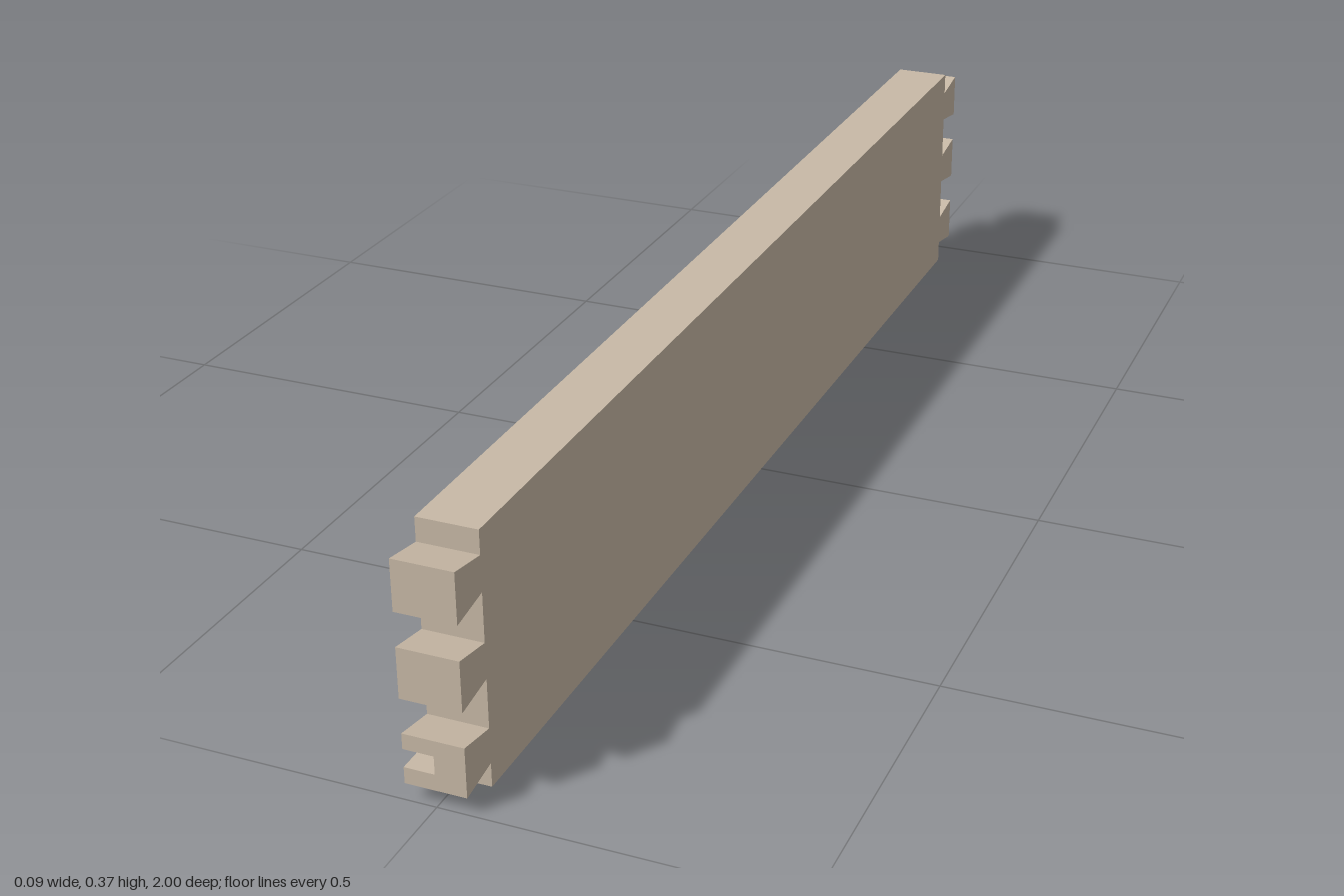
import * as THREE from 'three';
import { mergeGeometries } from 'three/addons/utils/BufferGeometryUtils.js';

const HALF = 0.044, HEIGHT = 0.372, SHOULDER = 0.935;
const GROOVE_LOW = 0.049, GROOVE_HIGH = 0.076;
const TAILS = [0.062, 0.187, 0.311]; // centre heights of the dovetails
const TIP = 0.037, ROOT = 0.026;     // half heights of a tail

// Profile of one end from bottom to top, as [distance along board, height]
function endProfile() {
  const pts = [[SHOULDER, 0]];
  TAILS.forEach((c, i) => {
    pts.push([SHOULDER, c - ROOT], [1, c - TIP]);
    if (i === 0) pts.push([1, GROOVE_LOW], [1, GROOVE_HIGH]);
    pts.push([1, c + TIP], [SHOULDER, c + ROOT]);
  });
  pts.push([SHOULDER, HEIGHT]);
  return pts;
}

// Closed outline: one end plus its mirror image
const mirrored = (end) => [...end, ...end.map(([u, v]) => [-u, v]).reverse()];

// Flat face at the given x, facing +x (side 1) or -x (side -1)
function face(outline, x, side) {
  const shape = new THREE.Shape(outline.map(([u, v]) => new THREE.Vector2(u, v)));
  const g = new THREE.ShapeGeometry(shape).toNonIndexed();
  g.deleteAttribute('uv');
  return g.rotateY(side * Math.PI / 2).translate(x, 0, 0);
}

// Flat wall from outline point a to b, spanning x0 to x1
function wall(a, b, x0, x1) {
  const p = (q, x) => [x, q[1], -q[0]];
  const corners = [p(a, x0), p(b, x0), p(b, x1), p(a, x0), p(b, x1), p(a, x1)];
  const g = new THREE.BufferGeometry();
  g.setAttribute('position', new THREE.Float32BufferAttribute(corners.flat(), 3));
  g.computeVertexNormals();
  return g;
}

export function createModel() {
  const group = new THREE.Group();
  group.name = 'dovetailedBoard';
  const material = new THREE.MeshStandardMaterial({ color: 0xc8b9a6 });
  const add = (name, parts) => {
    const mesh = new THREE.Mesh(mergeGeometries(parts), material);
    mesh.name = name;
    group.add(mesh);
  };

  const end = endProfile();
  const low = end.findIndex(([, v]) => v === GROOVE_LOW);
  const outline = mirrored(end);

  // Broad faces; the grooved one is split above and below the slot
  add('plainFace', [face(outline, HALF, 1)]);
  add('groovedFace', [
    face(mirrored(end.slice(0, low + 1)), -HALF, -1),
    face(mirrored(end.slice(low + 1)), -HALF, -1),
  ]);

  // Edges and dovetail ends; the slot mouth is only half as deep
  add('edgesAndDovetails', outline.map((a, i) => {
    const b = outline[(i + 1) % outline.length];
    const mouth = Math.min(a[1], b[1]) === GROOVE_LOW && Math.max(a[1], b[1]) === GROOVE_HIGH;
    return wall(a, b, mouth ? 0 : -HALF, HALF);
  }));

  // Slot running the full length
  add('panelGroove', [
    face([[1, GROOVE_LOW], [1, GROOVE_HIGH], [-1, GROOVE_HIGH], [-1, GROOVE_LOW]], 0, -1),
    wall([1, GROOVE_LOW], [-1, GROOVE_LOW], -HALF, 0),
    wall([-1, GROOVE_HIGH], [1, GROOVE_HIGH], -HALF, 0),
  ]);
  return group;
}
